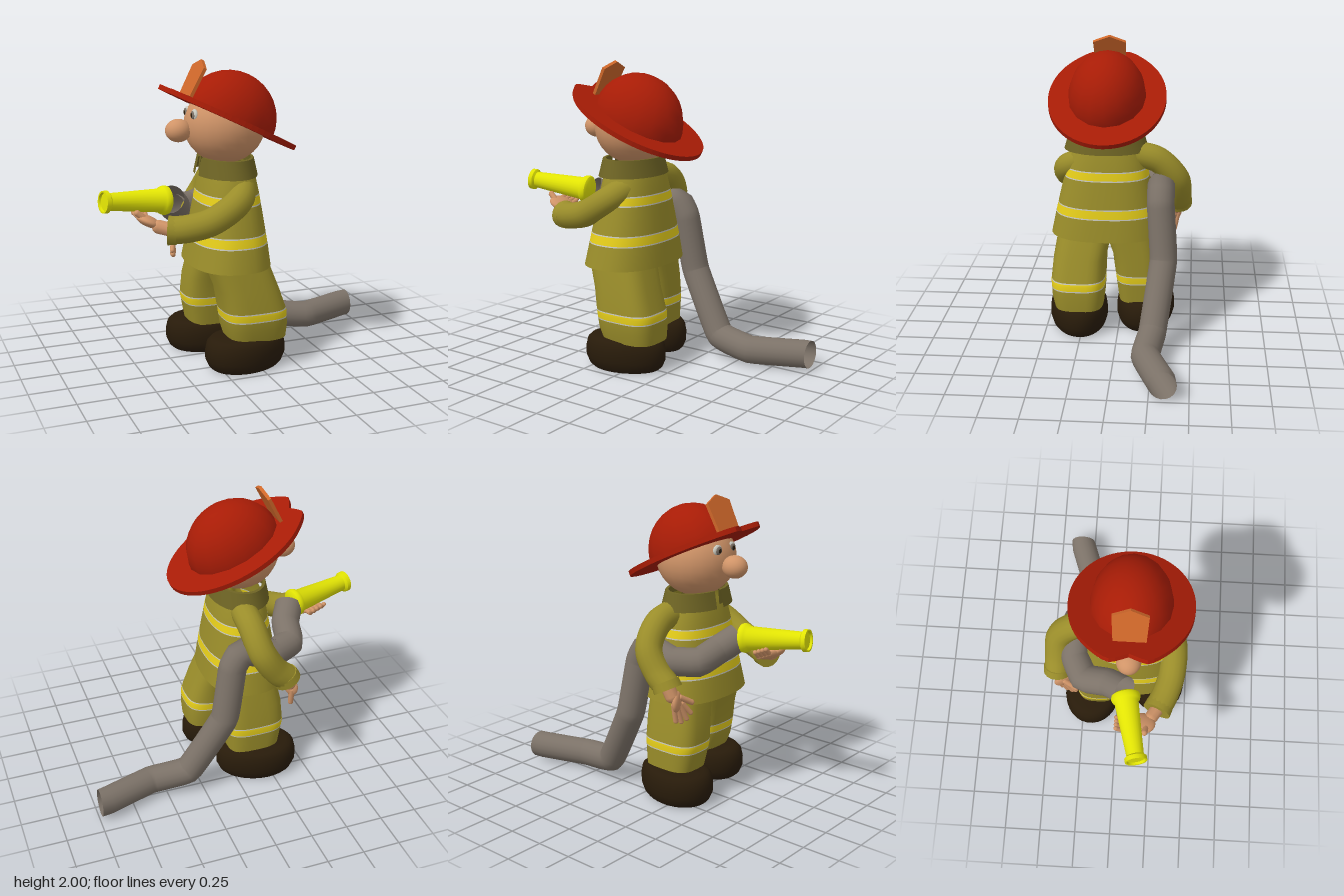
import * as THREE from 'three';
import { toCreasedNormals } from 'three/addons/utils/BufferGeometryUtils.js';

const V = (x, y, z) => new THREE.Vector3(x, y, z);

function makeMaterial(name, color, side = THREE.FrontSide) {
  const m = new THREE.MeshStandardMaterial({ color, side });
  m.name = name;
  return m;
}

// Rounded cross-sections [y, cx, cz, rx, rz] joined into a skin; power 2 is an ellipse, higher is boxier
function loft(rings, power = 2, n = 32) {
  const pos = [], idx = [];
  const bulge = (v) => Math.sign(v) * Math.abs(v) ** (2 / power);
  rings.forEach(([y, cx, cz, rx, rz], k) => {
    for (let i = 0; i < n; i++) {
      const t = (i / n) * Math.PI * 2;
      pos.push(cx + rx * bulge(Math.cos(t)), y, cz + rz * bulge(Math.sin(t)));
      if (k === 0) continue;
      const j = (i + 1) % n, a = (k - 1) * n, b = k * n;
      idx.push(a + i, b + i, a + j, b + i, b + j, a + j);
    }
  });
  const g = new THREE.BufferGeometry();
  g.setAttribute('position', new THREE.Float32BufferAttribute(pos, 3));
  g.setIndex(idx);
  g.computeVertexNormals();
  return g;
}

// Cross-section of a profile at height y
function sectionAt(profile, y) {
  let k = 0;
  while (k < profile.length - 2 && profile[k + 1][0] < y) k++;
  const a = profile[k], b = profile[k + 1], t = (y - a[0]) / (b[0] - a[0]);
  return a.map((v, i) => v + (b[i] - v) * t);
}

export function createModel() {
  const root = new THREE.Group();
  root.name = 'firefighter';
  const D = THREE.DoubleSide;
  const cloth = makeMaterial('olive cloth', 0x9a8d2a, D);
  const collarMat = makeMaterial('dark olive', 0x6e6424, D);
  const yellow = makeMaterial('stripe yellow', 0xe6ce1a, D);
  const pale = makeMaterial('pale grey', 0xc8c8be, D);
  const red = makeMaterial('helmet red', 0xa81c06);
  const skin = makeMaterial('skin', 0xd09468);
  const badgeMat = makeMaterial('badge orange', 0xd0682a);
  const hoseMat = makeMaterial('hose grey', 0x7c7268, D);
  const brass = makeMaterial('nozzle yellow', 0xe2e404);
  const dark = makeMaterial('dark brown', 0x281b0a);

  const add = (name, geo, mat, parent = root) => {
    const m = new THREE.Mesh(geo, mat);
    m.name = name;
    parent.add(m);
    return m;
  };
  const group = (name, parent = root) => {
    const g = new THREE.Group();
    g.name = name;
    parent.add(g);
    return g;
  };
  const ball = (name, p, s, mat, parent = root) => {
    const m = add(name, new THREE.SphereGeometry(1, 24, 16), mat, parent);
    m.position.set(...p);
    m.scale.set(...s);
    return m;
  };
  // Aim a y-axis part from a along b
  const aim = (m, a, b) => {
    m.position.copy(a);
    m.quaternion.setFromUnitVectors(V(0, 1, 0), b.clone().sub(a).normalize());
    return m;
  };
  const finger = (a, b, r, parent) => {
    const m = add('finger', new THREE.CapsuleGeometry(r, a.distanceTo(b), 4, 10), skin, parent);
    aim(m, a, b).position.lerp(b, 0.5);
  };
  // Garment with edged reflective stripes, each [low, high]
  const striped = (name, power, profile, stripes) => {
    const g = group(name), edge = 0.008;
    const band = (n, a, b, mat) => {
      const mid = profile.filter((r) => r[0] > a + 1e-4 && r[0] < b - 1e-4);
      add(n, loft([sectionAt(profile, a), ...mid, sectionAt(profile, b)], power), mat, g);
    };
    let y = profile[0][0];
    for (const [a, b] of stripes) {
      band('cloth', y, a - edge, cloth);
      band('stripeEdge', a - edge, a, pale);
      band('stripe', a, b, yellow);
      band('stripeEdge', b, b + edge, pale);
      y = b + edge;
    }
    band('cloth', y, profile[profile.length - 1][0], cloth);
    return g;
  };

  // Jacket with hem closed underneath
  const jacket = striped('jacket', 2.4, [
    [0.68, -0.135, 0.085, 0.265, 0.38], [0.82, -0.13, 0.085, 0.243, 0.35],
    [1.14, -0.125, 0.085, 0.19, 0.275], [1.27, -0.125, 0.085, 0.165, 0.24],
    [1.33, -0.125, 0.085, 0.14, 0.2],
  ], [[0.838, 0.893], [1.093, 1.143]]);
  const hem = add('hem', new THREE.CircleGeometry(1, 32).rotateX(Math.PI / 2), cloth, jacket);
  hem.position.set(-0.135, 0.695, 0.085);
  hem.scale.set(0.258, 1, 0.372);

  // Trousers
  striped('leftTrouser', 3.2, [
    [0.2, 0.0, 0.265, 0.195, 0.165], [0.28, -0.01, 0.27, 0.21, 0.18],
    [0.38, -0.02, 0.272, 0.215, 0.185], [0.54, -0.06, 0.262, 0.2, 0.18],
    [0.694, -0.115, 0.232, 0.2, 0.185],
  ], [[0.348, 0.394]]);
  striped('rightTrouser', 3.2, [
    [0.2, -0.15, -0.145, 0.18, 0.145], [0.38, -0.16, -0.135, 0.205, 0.16],
    [0.54, -0.155, -0.115, 0.2, 0.16], [0.694, -0.14, -0.075, 0.185, 0.17],
  ], [[0.348, 0.394]]);

  // Boots: rounded slabs, wider at the toe
  const boot = (name, x, z, turn) => {
    const rings = [[0, 0], [0, 0.84], [0.02, 0.92], [0.07, 1], [0.13, 1], [0.18, 0.96], [0.205, 0.87], [0.214, 0.76], [0.214, 0]];
    const geo = loft(rings.map(([y, s]) => [y, 0, 0, 0.28 * s, 0.198 * s]));
    const p = geo.attributes.position;
    for (let i = 0; i < p.count; i++) p.setZ(i, p.getZ(i) * (1 - 0.35 * p.getX(i)));
    const m = add(name, toCreasedNormals(geo, 0.8), dark);
    m.position.set(x, 0, z);
    m.rotation.y = turn;
  };
  boot('leftBoot', -0.065, 0.277, 0.14);
  boot('rightBoot', -0.18, -0.178, -0.12);

  // Collar, open at the front
  const collarPts = [[0.285, 1.265], [0.25, 1.38], [0.225, 1.38], [0.24, 1.28]].map((p) => new THREE.Vector2(...p));
  const collar = add('collar', toCreasedNormals(
    new THREE.LatheGeometry(collarPts, 24, Math.PI * 1.5 + 0.12, Math.PI * 2 - 0.24), 0.6), collarMat);
  collar.scale.x = 0.69;
  collar.position.set(-0.135, 0, 0.088);

  // Head with eyes nearly flush
  ball('head', [-0.135, 1.58, 0.08], [0.265, 0.25, 0.26], skin);
  ball('nose', [-0.447, 1.557, 0.08], [0.085, 0.074, 0.078], skin);
  for (const s of [-1, 1]) {
    ball('eye', [-0.36, 1.66, 0.08 + s * 0.07], [0.02, 0.038, 0.04], pale);
    ball('iris', [-0.372, 1.66, 0.08 + s * 0.07], [0.012, 0.028, 0.03], hoseMat);
    ball('pupil', [-0.379, 1.66, 0.08 + s * 0.07], [0.008, 0.015, 0.016], dark);
  }

  // Helmet, tipped back
  const helmet = group('helmet');
  helmet.position.set(-0.105, 1.617, 0.08);
  helmet.rotation.z = -0.455;
  const outline = [];
  for (let i = 0; i < 64; i++) {
    const a = (i / 64) * Math.PI * 2, w = 0.39 * Math.sin(a), off = Math.abs(w);
    let u = 0.485 * Math.cos(a);
    // front notch between two lobes
    if (u < 0) u += 0.055 * Math.max(0, 1 - off / 0.11) - 0.015 * Math.exp(-(((off - 0.13) / 0.07) ** 2));
    outline.push(new THREE.Vector2(u, w));
  }
  const brim = new THREE.ExtrudeGeometry(new THREE.Shape(outline), { depth: 0.032, bevelEnabled: false });
  add('brim', brim.rotateX(-Math.PI / 2).translate(0, -0.016, 0), red, helmet);
  const dome = add('dome', new THREE.SphereGeometry(1, 16, 8, 0, Math.PI * 2, 0, Math.PI / 2), red, helmet);
  dome.scale.set(0.318, 0.308, 0.258);

  // Helmet badge
  const plate = new THREE.Shape([[-0.1, 0], [0.1, 0], [0.11, 0.195], [0, 0.243], [-0.11, 0.195]]
    .map((p) => new THREE.Vector2(...p)));
  const badge = add('badge', new THREE.ExtrudeGeometry(plate, { depth: 0.022, bevelEnabled: false })
    .rotateY(-Math.PI / 2).rotateZ(-0.48), badgeMat);
  badge.position.set(-0.382, 1.775, 0.08);

  // Sleeves and cuffs
  const sleeve = (name, pts, cuffEnd) => {
    const g = group(name), curve = new THREE.CatmullRomCurve3(pts), end = pts[pts.length - 1];
    add('sleeve', new THREE.TubeGeometry(curve, 28, 0.088, 16), cloth, g);
    ball('shoulder', pts[0].toArray(), [0.088, 0.088, 0.088], cloth, g);
    aim(add('cuff', new THREE.CylinderGeometry(0.094, 0.09, 0.055, 16), cloth, g), end, cuffEnd);
    return g;
  };
  const leftArm = sleeve('leftArm', [V(-0.07, 1.2, 0.23), V(-0.14, 1.13, 0.35),
    V(-0.32, 1.02, 0.365), V(-0.46, 0.98, 0.33), V(-0.56, 0.965, 0.285)], V(-0.68, 0.97, 0.235));
  const rightArm = sleeve('rightArm', [V(-0.1, 1.24, -0.11), V(-0.1, 1.2, -0.26),
    V(-0.13, 1.06, -0.385), V(-0.22, 0.92, -0.4), V(-0.29, 0.855, -0.4)], V(-0.33, 0.78, -0.4));

  // Left hand cradling the nozzle
  const lh = group('leftHand', leftArm);
  finger(V(-0.57, 0.97, 0.28), V(-0.635, 0.985, 0.24), 0.045, lh);
  const leftPalm = ball('palm', [-0.685, 1.012, 0.18], [0.085, 0.034, 0.09], skin, lh);
  leftPalm.rotation.z = -0.45;
  for (let i = 0; i < 4; i++) {
    const x = -0.655 - i * 0.027, y = 1.0 + i * 0.012;
    finger(V(x, y, 0.13), V(x - 0.01, y + 0.01, 0.06), 0.017, lh);
    finger(V(x - 0.01, y + 0.01, 0.06), V(x - 0.01, y + 0.05, 0.018), 0.015, lh);
  }
  finger(V(-0.71, 1.03, 0.21), V(-0.762, 1.075, 0.2), 0.02, lh);

  // Right hand hanging open, turned across the front of the hip
  const rh = group('rightHand', rightArm);
  finger(V(-0.3, 0.85, -0.4), V(-0.325, 0.79, -0.39), 0.045, rh);
  const rightPalm = ball('palm', [-0.345, 0.75, -0.365], [0.028, 0.07, 0.062], skin, rh);
  rightPalm.rotation.y = 0.4;
  [[-0.385, 0.665, -0.28], [-0.375, 0.63, -0.305], [-0.36, 0.615, -0.34], [-0.345, 0.625, -0.375]].forEach(
    ([x, y, z], i) => finger(V(-0.36 + i * 0.005, 0.735, -0.33 - i * 0.022), V(x, y, z), 0.017, rh));
  finger(V(-0.36, 0.78, -0.35), V(-0.39, 0.735, -0.275), 0.019, rh);

  // Hose round the body and along the ground, its end cut square
  const path = new THREE.CatmullRomCurve3([V(-0.5, 1.11, 0.06), V(-0.43, 1.04, -0.05), V(-0.395, 0.985, -0.21),
    V(-0.24, 0.98, -0.285), V(-0.03, 1.035, -0.285), V(0.035, 0.93, -0.285), V(0.1, 0.56, -0.31),
    V(0.34, 0.145, -0.25), V(0.6, 0.1, -0.215), V(0.96, 0.105, -0.337)], false, 'catmullrom', 0.12);
  const hoseGeo = new THREE.TubeGeometry(path, 80, 0.093, 18), hp = hoseGeo.attributes.position;
  for (let i = hp.count - 19; i < hp.count; i++) hp.setX(i, 0.983);
  add('hose', hoseGeo, hoseMat);

  // Nozzle
  const nozzlePts = [[0, 0], [0.075, 0], [0.092, 0.012], [0.096, 0.03], [0.09, 0.05], [0.077, 0.065], [0.055, 0.42],
    [0.071, 0.432], [0.071, 0.46], [0.06, 0.46], [0.056, 0.445], [0, 0.445]].map((p) => new THREE.Vector2(...p));
  aim(add('nozzle', toCreasedNormals(new THREE.LatheGeometry(nozzlePts, 24), 0.7), brass),
    V(-0.52, 1.108, 0.065), V(-0.975, 1.155, 0.16));

  return root;
}
